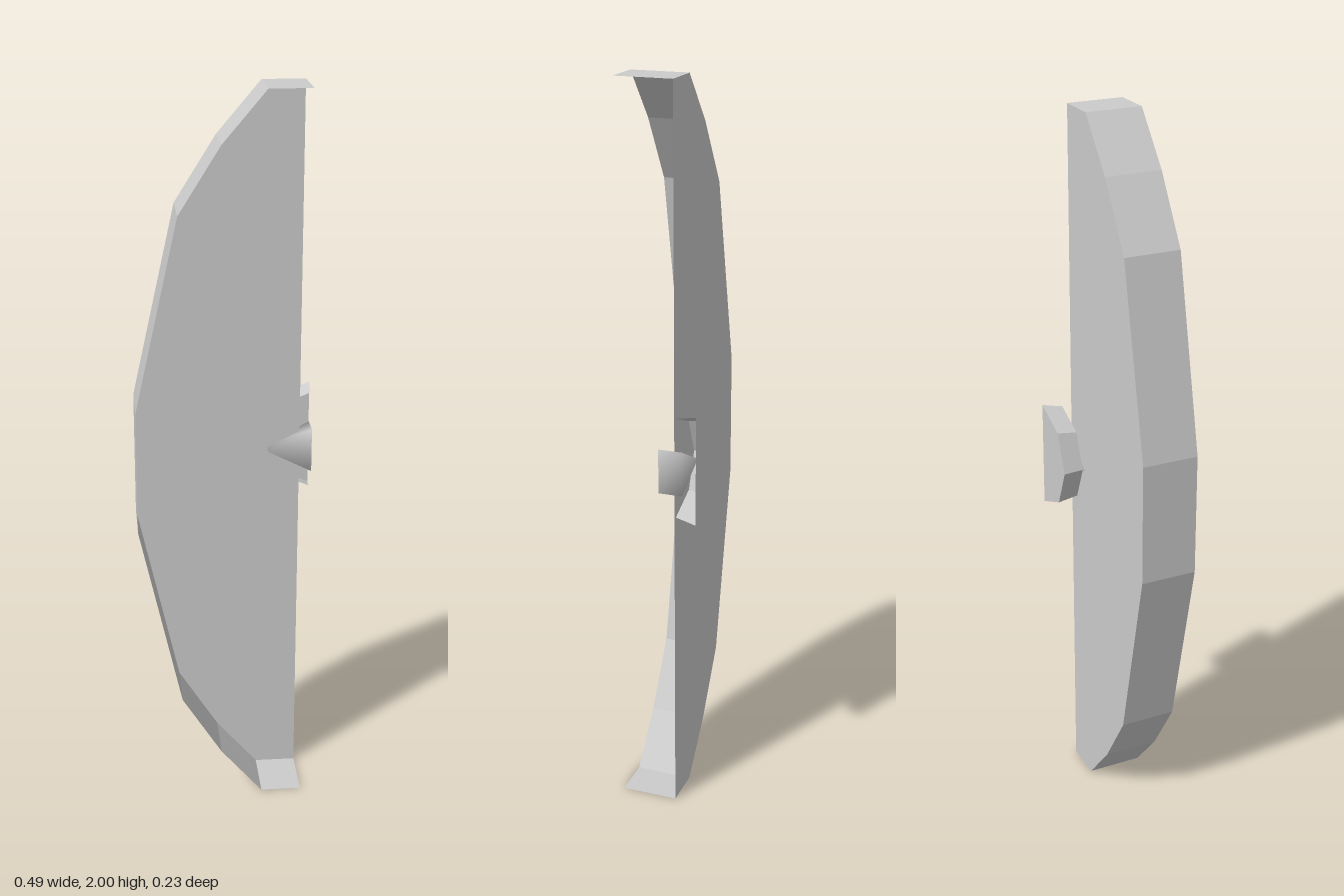
import * as THREE from 'three';
import { mergeVertices } from 'three/addons/utils/BufferGeometryUtils.js';

// Thin open tray: a flat back plate and a rim running forward along the outline;
// the straight side from the last point to the first stays open.
function makeTray(name, back, front, zBack, zFront) {
  const group = new THREE.Group();
  group.name = name;
  const material = new THREE.MeshStandardMaterial({ color: 0xcccccc, side: THREE.DoubleSide, flatShading: true });

  const plate = new THREE.Mesh(
    new THREE.ShapeGeometry(new THREE.Shape(back.map(([x, y]) => new THREE.Vector2(x, y)))), material);
  plate.position.z = zBack;
  plate.name = name + 'Plate';

  const positions = [];
  const index = [];
  back.forEach(([x, y], i) => {
    positions.push(x, y, zBack, front[i][0], front[i][1], zFront);
    if (i > 0) {
      const a = 2 * (i - 1);
      index.push(a, a + 2, a + 1, a + 1, a + 2, a + 3);
    }
  });
  const rimGeometry = new THREE.BufferGeometry();
  rimGeometry.setAttribute('position', new THREE.Float32BufferAttribute(positions, 3));
  rimGeometry.setIndex(index);
  rimGeometry.computeVertexNormals();
  const rim = new THREE.Mesh(rimGeometry, material);
  rim.name = name + 'Rim';

  group.add(plate, rim);
  return group;
}

// Left half of an octagon, listed from top to bottom
function halfOctagon(cx, cy, radius) {
  return Array.from({ length: 5 }, (_, i) => {
    const a = Math.PI / 2 + (i * Math.PI) / 4;
    return [cx + radius * Math.cos(a), cy + radius * Math.sin(a)];
  });
}

export function createModel() {
  const model = new THREE.Group();
  model.name = 'halfPanel';

  // Tall bowed panel, upper half mirrored to the lower
  const upper = [[0.208, 2], [0.095, 2], [-0.02, 1.865], [-0.13, 1.69], [-0.245, 1.17]];
  const outline = [...upper, ...[...upper].reverse().map(([x, y]) => [x, 2 - y])];
  model.add(makeTray('panel', outline, outline, -0.043, 0.113));

  // Flared cap behind the panel
  model.add(makeTray('cap', halfOctagon(0.243, 1.017, 0.149), halfOctagon(0.237, 1.017, 0.137), -0.115, -0.058));

  // Three-sided peg joining cap and panel, smoothly shaded
  const triangle = new THREE.Shape([
    new THREE.Vector2(0.118, 1.003), new THREE.Vector2(0.238, 0.942), new THREE.Vector2(0.238, 1.064)]);
  let pegGeometry = new THREE.ExtrudeGeometry(triangle, { depth: 0.065, bevelEnabled: false });
  pegGeometry.deleteAttribute('normal');
  pegGeometry.deleteAttribute('uv');
  pegGeometry = mergeVertices(pegGeometry);
  pegGeometry.computeVertexNormals();
  const peg = new THREE.Mesh(pegGeometry, new THREE.MeshStandardMaterial({ color: 0xcccccc }));
  peg.position.z = -0.075;
  peg.name = 'peg';
  model.add(peg);

  return model;
}
